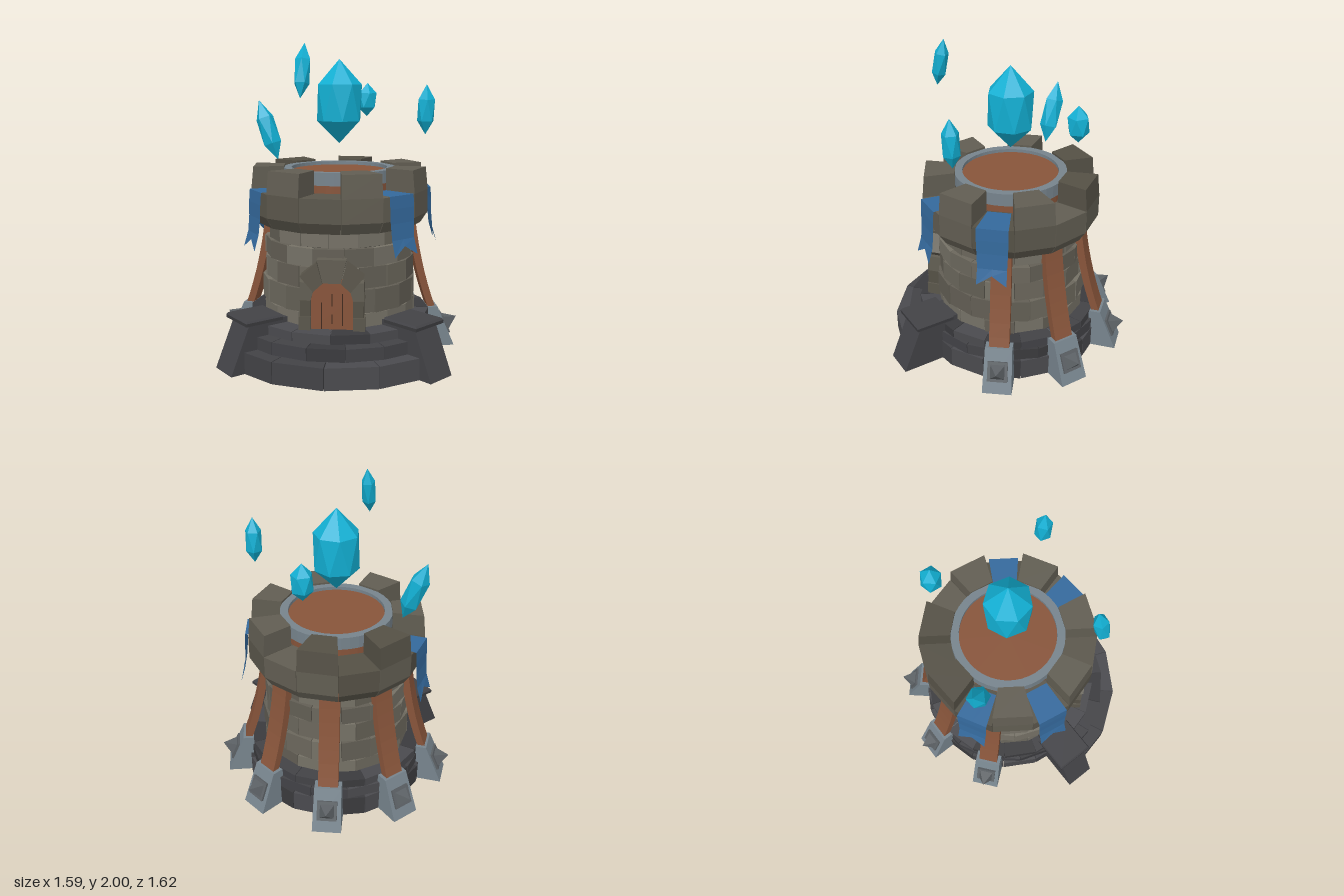
import * as THREE from 'three';
import { ConvexGeometry } from 'three/addons/geometries/ConvexGeometry.js';

const RAD = Math.PI / 180;
const mat = (color, side = THREE.FrontSide) =>
  new THREE.MeshStandardMaterial({ color, flatShading: true, side });
const M = {
  bricks: [mat(0x6b675c), mat(0x625e54), mat(0x757166)],
  crown: [mat(0x5a564b), mat(0x545045), mat(0x615d52)],
  dark: [mat(0x424246), mat(0x3a3a3d), mat(0x4a4a4e)],
  mortar: mat(0x3a3832), wood: mat(0x87543a), slit: mat(0x3f281c),
  metal: mat(0x76838c), spike: mat(0x5c6165),
  cloth: mat(0x34699c, THREE.DoubleSide), crystal: mat(0x12b0d4),
};

let seed = 7;
const rnd = () => (seed = (seed * 16807) % 2147483647) / 2147483647;
const pick = (list) => list[Math.floor(rnd() * list.length)];

function add(parent, name, geo, material, x = 0, y = 0, z = 0) {
  const mesh = new THREE.Mesh(geo, material);
  mesh.name = name;
  mesh.position.set(x, y, z);
  parent.add(mesh);
  return mesh;
}

// Moves each corner of a unit box by a rule taking the signs of its coordinates
function shapedBox(rule) {
  const geo = new THREE.BoxGeometry(1, 1, 1);
  const p = geo.attributes.position;
  for (let i = 0; i < p.count; i++) p.setXYZ(i, ...rule(p.getX(i) > 0, p.getY(i) > 0, p.getZ(i) > 0));
  geo.computeVertexNormals();
  return geo;
}

// Straight-sided ring segment; angles in degrees from +x towards +z
const wedge = (a0, a1, y0, y1, inner, outer, outerTop = outer) => shapedBox((px, py, pz) => {
  const a = (px ? a0 : a1) * RAD, r = pz ? (py ? outerTop : outer) : inner;
  return [Math.cos(a) * r, py ? y1 : y0, Math.sin(a) * r];
});

// Block with a sloping outer face, lying along local +z
const slopedBlock = (wBottom, wTop, y0, y1, z0, zBottom, zTop) => shapedBox((px, py, pz) =>
  [(px ? 0.5 : -0.5) * (py ? wTop : wBottom), py ? y1 : y0, pz ? (py ? zTop : zBottom) : z0]);

// Group whose local +z points outwards at the given angle
function radial(parent, name, angle) {
  const g = new THREE.Group();
  g.name = name;
  g.rotation.y = Math.PI / 2 - angle * RAD;
  parent.add(g);
  return g;
}

function ring(parent, name, mats, n, start, end, y0, y1, inner, outer, gap = 0.4, jitter = 0) {
  const step = (end - start) / n;
  for (let i = 0; i < n; i++) {
    const a = start + i * step;
    add(parent, name, wedge(a + gap / 2, a + step - gap / 2, y0, y1, inner, outer + (rnd() - 0.5) * jitter), pick(mats));
  }
}

function buildBase(root) {
  const g = new THREE.Group();
  g.name = 'base';
  root.add(g);
  add(g, 'baseCore', new THREE.CylinderGeometry(0.58, 0.58, 0.245, 32), M.dark[1], 0, 0.1425);
  [[0, 0.14, 0.625], [0.14, 0.215, 0.612], [0.215, 0.273, 0.6]].forEach(([y0, y1, r], i) =>
    ring(g, 'baseStone', M.dark, 16, i * 11, 360 + i * 11, y0, y1, 0.46, r));
  // Curved entrance steps
  ring(g, 'lowerStep', M.dark, 4, 45, 138, 0, 0.137, 0.55, 0.81);
  ring(g, 'middleStep', M.dark, 5, 44, 139, 0.135, 0.217, 0.5, 0.715);
  ring(g, 'upperStep', M.dark, 4, 46, 134, 0.215, 0.275, 0.45, 0.635);
  // Sloping piers either side of the steps
  for (const a of [41, 139]) {
    const pier = radial(g, 'stepPier', a);
    add(pier, 'pierBody', slopedBlock(0.2, 0.2, 0, 0.31, 0.48, 0.885, 0.75), M.dark[0]);
    add(pier, 'pierSlab', slopedBlock(0.26, 0.26, 0.305, 0.325, 0.53, 0.79, 0.79), M.dark[1]);
    add(pier, 'pierSlabTop', slopedBlock(0.26, 0.245, 0.325, 0.337, 0.53, 0.79, 0.78), M.dark[0]);
  }
}

function buildWall(root) {
  const g = new THREE.Group();
  g.name = 'wall';
  root.add(g);
  add(g, 'wallCore', new THREE.CylinderGeometry(0.445, 0.47, 0.62, 28), M.mortar, 0, 0.58);
  const levels = [0.27, 0.362, 0.515, 0.652, 0.77, 0.88];
  [0.502, 0.505, 0.492, 0.492, 0.468].forEach((r, i) => {
    const start = (i % 2) * 11 + 3;
    ring(g, 'brick', M.bricks, 16, start, start + 360, levels[i] + 0.002, levels[i + 1] - 0.002, 0.4, r, 0.5, 0.012);
  });
}

function buildCrown(root) {
  const g = new THREE.Group();
  g.name = 'battlement';
  root.add(g);
  const step = 360 / 14, first = -6 - step / 2;
  for (let i = 0; i < 14; i++) {
    const a0 = first + i * step + 0.2, a1 = a0 + step - 0.4;
    const m = pick(M.crown);
    add(g, 'corbel', wedge(a0, a1, 0.87, 0.94, 0.36, 0.54, 0.585), m);
    add(g, 'parapet', wedge(a0, a1, 0.94, 1.09, 0.36, 0.585), m);
    if (i % 2) add(g, 'merlon', wedge(a0, a1, 1.09, 1.235, 0.37, 0.585, 0.57), pick(M.crown));
  }
  // Round platform with its metal rim
  add(g, 'platform', new THREE.CylinderGeometry(0.35, 0.35, 0.26, 40), M.wood, 0, 1.07);
  const rim = [[0.315, 1.14], [0.368, 1.14], [0.368, 1.222], [0.315, 1.222], [0.315, 1.14]];
  add(g, 'platformRim', new THREE.LatheGeometry(rim.map((p) => new THREE.Vector2(...p)), 40), M.metal);
}

function buildBanners(root) {
  // Rows of radius, height and half width
  const rows = [[0.375, 1.098, 0.075], [0.592, 1.098, 0.1], [0.598, 1.02, 0.1],
    [0.6, 0.93, 0.097], [0.61, 0.83, 0.093], [0.64, 0.73, 0.095]];
  for (const k of [0, 1, 3, 4]) {
    const banner = radial(root, 'banner', -6 + k * 360 / 7);
    const geo = new THREE.PlaneGeometry(2, 1, 2, rows.length - 1);
    const p = geo.attributes.position;
    for (let i = 0; i < p.count; i++) {
      const row = Math.floor(i / 3), [r, y, w] = rows[row];
      const notch = row === rows.length - 1 && i % 3 === 1 ? 0.06 : 0;
      p.setXYZ(i, p.getX(i) * w, y + notch, r - notch * 0.25);
    }
    geo.computeVertexNormals();
    add(banner, 'bannerCloth', geo, M.cloth);
  }
}

function buildButtresses(root) {
  const outer = new THREE.QuadraticBezierCurve(
    new THREE.Vector2(0.655, 0.24), new THREE.Vector2(0.54, 0.55), new THREE.Vector2(0.5, 0.89)).getPoints(7);
  const inner = outer.map((p) => new THREE.Vector2(p.x - 0.05, p.y)).reverse();
  // Side profile drawn in (-z, y), so a quarter turn points it outwards
  const beamShape = new THREE.Shape([...outer, ...inner].map((p) => new THREE.Vector2(-p.x, p.y)));
  const beamGeo = new THREE.ExtrudeGeometry(beamShape, { depth: 0.13, bevelEnabled: false });
  beamGeo.translate(0, 0, -0.065).rotateY(Math.PI / 2);
  const pyramid = new THREE.ConeGeometry(0.065, 0.085, 4).rotateY(Math.PI / 4).rotateX(Math.PI / 2);
  for (const offset of [-80, -41, 0, 41, 80]) {
    const g = radial(root, 'buttress', 270 + offset);
    add(g, 'curvedBeam', beamGeo, M.wood);
    add(g, 'metalFoot', slopedBlock(0.19, 0.175, 0, 0.27, 0.5, 0.775, 0.66), M.metal);
    const stud = new THREE.Group();
    stud.name = 'stud';
    stud.position.set(0, 0.135, 0.717);
    stud.rotation.x = -23 * RAD;
    g.add(stud);
    add(stud, 'studPlate', new THREE.BoxGeometry(0.13, 0.13, 0.03), M.spike);
    add(stud, 'studSpike', pyramid, M.spike, 0, 0, 0.0575);
  }
}

function buildDoor(root) {
  const g = new THREE.Group();
  g.name = 'doorway';
  root.add(g);
  const slab = (name, pts, z0, z1, m) => add(g, name, new THREE.ExtrudeGeometry(
    new THREE.Shape(pts.map((p) => new THREE.Vector2(...p))), { depth: z1 - z0, bevelEnabled: false }), m, 0, 0, z0);
  slab('door', [[-0.14, 0.27], [0.14, 0.27], [0.14, 0.48], [0.07, 0.585], [-0.07, 0.585], [-0.14, 0.48]], 0.42, 0.515, M.wood);
  for (const [x, y, h] of [[-0.065, 0.36, 0.17], [0, 0.46, 0.08], [0, 0.34, 0.06], [0.065, 0.4, 0.2]])
    add(g, 'plankGap', new THREE.BoxGeometry(0.006, h, 0.004), M.slit, x, y, 0.516);
  slab('keystone', [[-0.055, 0.572], [0.055, 0.572], [0.09, 0.718], [-0.09, 0.718]], 0.42, 0.548, M.crown[2]);
  for (const s of [-1, 1]) {
    const side = (name, pts, z1, m) => slab(name, pts.map(([x, y]) => [x * s, y]), 0.42, z1, m);
    side('archStone', [[0.057, 0.568], [0.115, 0.515], [0.195, 0.61], [0.092, 0.7]], 0.543, M.crown[0]);
    side('archFoot', [[0.13, 0.462], [0.2, 0.462], [0.195, 0.575], [0.165, 0.573], [0.115, 0.513]], 0.536, M.crown[2]);
    side('jambStone', [[0.13, 0.36], [0.195, 0.36], [0.195, 0.46], [0.13, 0.46]], 0.54, M.crown[1]);
    side('jambStone', [[0.13, 0.27], [0.203, 0.27], [0.203, 0.358], [0.13, 0.358]], 0.545, M.crown[0]);
  }
}

// Faceted crystal between two tips, with two twisted rings of corners
function crystal(root, name, top, bottom, radius, sides, turn = 0) {
  const a = new THREE.Vector3(...top), b = new THREE.Vector3(...bottom);
  const h = a.distanceTo(b);
  const pts = [new THREE.Vector3(0, h / 2, 0), new THREE.Vector3(0, -h / 2, 0)];
  for (let i = 0; i < sides; i++) {
    for (const [y, twist] of [[0.2, 0], [-0.23, 0.5]]) {
      const t = (i + twist) / sides * 2 * Math.PI + turn;
      pts.push(new THREE.Vector3(Math.cos(t) * radius, y * h, Math.sin(t) * radius));
    }
  }
  const mesh = add(root, name, new ConvexGeometry(pts), M.crystal);
  mesh.position.copy(a).add(b).multiplyScalar(0.5);
  mesh.quaternion.setFromUnitVectors(new THREE.Vector3(0, 1, 0), a.sub(b).normalize());
}

export function createModel() {
  const root = new THREE.Group();
  root.name = 'crystalTower';
  buildBase(root);
  buildWall(root);
  buildCrown(root);
  buildBanners(root);
  buildButtresses(root);
  buildDoor(root);
  crystal(root, 'largeCrystal', [0, 1.92, 0], [0, 1.375, 0], 0.147, 7);
  crystal(root, 'smallCrystal', [-0.16, 2, 0.495], [-0.18, 1.68, 0.56], 0.047, 5, 0.4);
  crystal(root, 'smallCrystal', [-0.565, 1.65, -0.17], [-0.43, 1.25, -0.125], 0.062, 5, 0.8);
  crystal(root, 'smallCrystal', [0.16, 1.765, -0.465], [0.155, 1.53, -0.47], 0.066, 5);
  crystal(root, 'smallCrystal', [0.56, 1.76, 0.195], [0.555, 1.45, 0.185], 0.054, 5, 0.2);
  return root;
}
